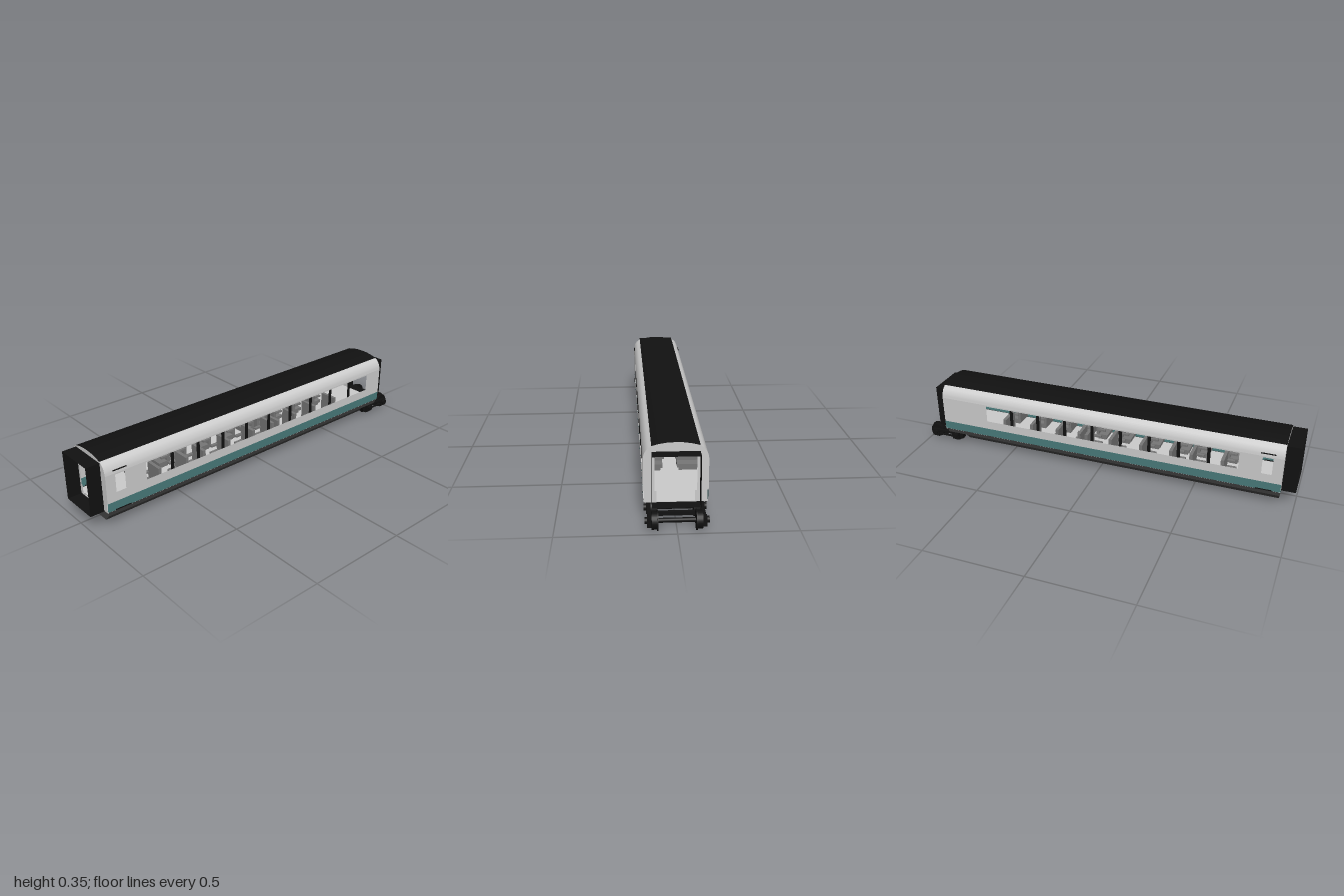
import * as THREE from 'three';

const mat = (color) => new THREE.MeshStandardMaterial({ color, side: THREE.DoubleSide });
const GREY = mat(0xcccccc), BLACK = mat(0x111111), TEAL = mat(0x4a7c7c);
const DARK = mat(0x444444), SEAT = mat(0x777777);
const FRONT = 0.93, REAR = -0.88;

function add(parent, name, geometry, material) {
  const mesh = new THREE.Mesh(geometry, material);
  mesh.name = name;
  parent.add(mesh);
  return mesh;
}

// Box given by its lower and upper limits on each axis
function box(parent, name, x0, x1, y0, y1, z0, z1, material) {
  const m = add(parent, name, new THREE.BoxGeometry(x1 - x0, y1 - y0, z1 - z0), material);
  m.position.set((x0 + x1) / 2, (y0 + y1) / 2, (z0 + z1) / 2);
  return m;
}

// Thin sheet: an x,y profile swept along z
function sheet(parent, name, profile, z0, z1, material, flat = false) {
  let g = new THREE.PlaneGeometry(1, 1, profile.length - 1, 1);
  const p = g.attributes.position, n = profile.length;
  for (let i = 0; i < p.count; i++) p.setXYZ(i, ...profile[i % n], i < n ? z0 : z1);
  if (flat) g = g.toNonIndexed();
  g.computeVertexNormals();
  return add(parent, name, g, material);
}

const rect = (a0, a1, b0, b1) =>
  new THREE.Path([[a0, b0], [a1, b0], [a1, b1], [a0, b1]].map((q) => new THREE.Vector2(...q)));
const mirror = (half) => [...half, ...half.filter(([x]) => x > 0).reverse().map(([x, y]) => [-x, y])];
const shapeOf = (pts) => new THREE.Shape(pts.map((q) => new THREE.Vector2(...q)));

// Half profiles on the +x side
const shoulder = new THREE.CatmullRomCurve3(
  [[0.136, 0.275], [0.132, 0.296], [0.12, 0.319], [0.1, 0.335]].map(([x, y]) => new THREE.Vector3(x, y, 0)))
  .getPoints(10).map((v) => [v.x, v.y]);
const roof = [[0.1, 0.335], [0.07, 0.343], [0.035, 0.3485], [0, 0.35]];
const hull = [[0.134, 0.09], [0.126, 0.065], [0.1, 0.035]];

function sideWall(side) {
  const wall = new THREE.Group();
  wall.name = side > 0 ? 'leftSide' : 'rightSide';
  // Wall panel with the window band and the door window cut out
  const windowEnd = side > 0 ? -0.77 : -0.62;
  const panel = shapeOf([[REAR, 0.135], [FRONT, 0.135], [FRONT, 0.275], [REAR, 0.275]]);
  panel.holes.push(rect(windowEnd, 0.72, 0.18, 0.268), rect(0.83, 0.88, 0.18, 0.268));
  const g = new THREE.ShapeGeometry(panel);
  g.rotateY(-Math.PI / 2);
  g.translate(side * 0.136, 0, 0);
  add(wall, 'windowPanel', g, GREY);
  const flip = (pts) => pts.map(([x, y]) => [side * x, y]);
  sheet(wall, 'shoulder', flip(shoulder), REAR, FRONT, GREY);
  sheet(wall, 'colourBand', flip([[0.134, 0.09], [0.136, 0.135]]), REAR, FRONT, TEAL);
  // Window pillars
  for (let i = 0; i < (side > 0 ? 9 : 8); i++) {
    const z = 0.575 - i * 0.15;
    const x = side * 0.134;
    box(wall, 'windowPillar', x - 0.002, x + 0.002, 0.18, 0.268, z - 0.008, z + 0.008, BLACK);
  }
  // Door rain strip and step
  for (const [y, z0, z1] of [[0.29, 0.82, 0.89], [0.092, 0.81, 0.89]]) {
    const x = side * 0.134;
    box(wall, 'doorTrim', x - 0.003, x + 0.003, y - 0.002, y + 0.002, z0, z1, BLACK);
  }
  return wall;
}

function endWall(name, z) {
  const outline = shapeOf(mirror([[0.131, 0.085], [0.131, 0.137], [0.136, 0.137], ...shoulder, ...roof.slice(1)]));
  outline.holes.push(new THREE.Path(
    mirror([[0.08, 0.088], [0.08, 0.137], [0.088, 0.137], [0.088, 0.31]]).map((q) => new THREE.Vector2(...q))));
  const g = new THREE.ShapeGeometry(outline);
  g.translate(0, 0, z);
  const m = new THREE.Mesh(g, GREY);
  m.name = name;
  return m;
}

// Seat: facing +1 looks to the front, -1 to the back
function seat(x0, x1, z, facing) {
  const s = new THREE.Group();
  s.name = 'seat';
  const span = (a, b) => [Math.min(z + a * facing, z + b * facing), Math.max(z + a * facing, z + b * facing)];
  box(s, 'seatBack', x0, x1, 0.1, 0.204, ...span(-0.008, 0.008), SEAT);
  box(s, 'seatCushion', x0, x1, 0.105, 0.122, ...span(0.008, 0.055), SEAT);
  box(s, 'seatBase', x0 + 0.008, x1 - 0.008, 0.09, 0.105, ...span(0, 0.045), SEAT);
  const inner = x0 < 0 ? x1 : x0;
  box(s, 'armrest', inner - 0.008, inner + 0.008, 0.145, 0.155, ...span(0, 0.045), SEAT);
  return s;
}

function bogie() {
  const b = new THREE.Group();
  b.name = 'bogie';
  const disc = (name, r, x0, x1, z) => {
    const m = add(b, name, new THREE.CylinderGeometry(r, r, x1 - x0, 24), BLACK);
    m.rotation.z = Math.PI / 2;
    m.position.set((x0 + x1) / 2, 0.043, z);
  };
  for (const z of [-0.837, -0.96]) {
    disc('axle', 0.01, -0.12, 0.12, z);
    for (const s of [-1, 1]) {
      const span = (a, c) => (s > 0 ? [a, c] : [-c, -a]);
      disc('wheelFlange', 0.043, ...span(0.077, 0.082), z);
      disc('wheelTread', 0.037, ...span(0.082, 0.104), z);
      disc('axleBoxCap', 0.014, ...span(0.12, 0.132), z);
      box(b, 'axleBox', ...span(0.104, 0.122), 0.02, 0.058, z - 0.018, z + 0.018, BLACK);
    }
  }
  for (const s of [-1, 1]) {
    box(b, 'upperSideRail', s * 0.112 - 0.008, s * 0.112 + 0.008, 0.048, 0.058, -0.97, -0.825, BLACK);
    box(b, 'lowerSideRail', s * 0.112 - 0.005, s * 0.112 + 0.005, 0.028, 0.034, -0.96, -0.837, BLACK);
  }
  box(b, 'bolster', -0.11, 0.11, 0.035, 0.052, -0.905, -0.89, BLACK);
  return b;
}

function sleeve(parent, name, y0, y1, z0, z1) {
  sheet(parent, name, [[0.1, y0], [0.1, y1], [-0.1, y1], [-0.1, y0], [0.1, y0]], z0, z1, BLACK, true);
}

export function createModel() {
  const car = new THREE.Group();
  car.name = 'railwayCarriage';

  // Body shell
  car.add(sideWall(1), sideWall(-1), endWall('frontEnd', FRONT), endWall('rearEnd', REAR));
  sheet(car, 'roof', mirror(roof), REAR, FRONT, BLACK);
  sheet(car, 'floor', [[-0.134, 0.088], [0.134, 0.088]], REAR, FRONT, GREY);

  // Open sleeves between carriages
  sleeve(car, 'frontGangway', 0.082, 0.328, FRONT, 1);
  sleeve(car, 'rearGangway', 0.085, 0.31, -0.937, REAR);

  // Underframe: deep hull, shallow skirt above the wheels, slotted front plate
  sheet(car, 'underframe', mirror(hull), -0.76, 0.925, DARK, true);
  for (const s of [-1, 1]) {
    sheet(car, 'rearSkirt', hull.slice(0, 2).map(([x, y]) => [s * x, y]), -0.87, -0.76, DARK, true);
  }
  const plate = shapeOf(mirror(hull));
  plate.holes.push(rect(-0.038, 0.035, 0.052, 0.074));
  add(car, 'frontPlate', new THREE.ShapeGeometry(plate), DARK).position.z = 0.925;
  box(car, 'couplerBar', -0.038, 0.035, 0.05, 0.057, 0.925, 0.972, BLACK);
  box(car, 'couplerHook', -0.038, -0.03, 0.05, 0.066, 0.925, 0.972, BLACK);

  // Seats on both sides of the aisle, back to back at mid car
  for (const z of [0.642, 0.487, 0.385, 0.23, 0.07, -0.06, -0.1, -0.22, -0.365, -0.52]) {
    const facing = z > -0.08 ? 1 : -1;
    car.add(seat(-0.128, -0.028, z, facing), seat(0.038, 0.128, z, facing));
  }

  car.add(bogie());
  return car;
}
